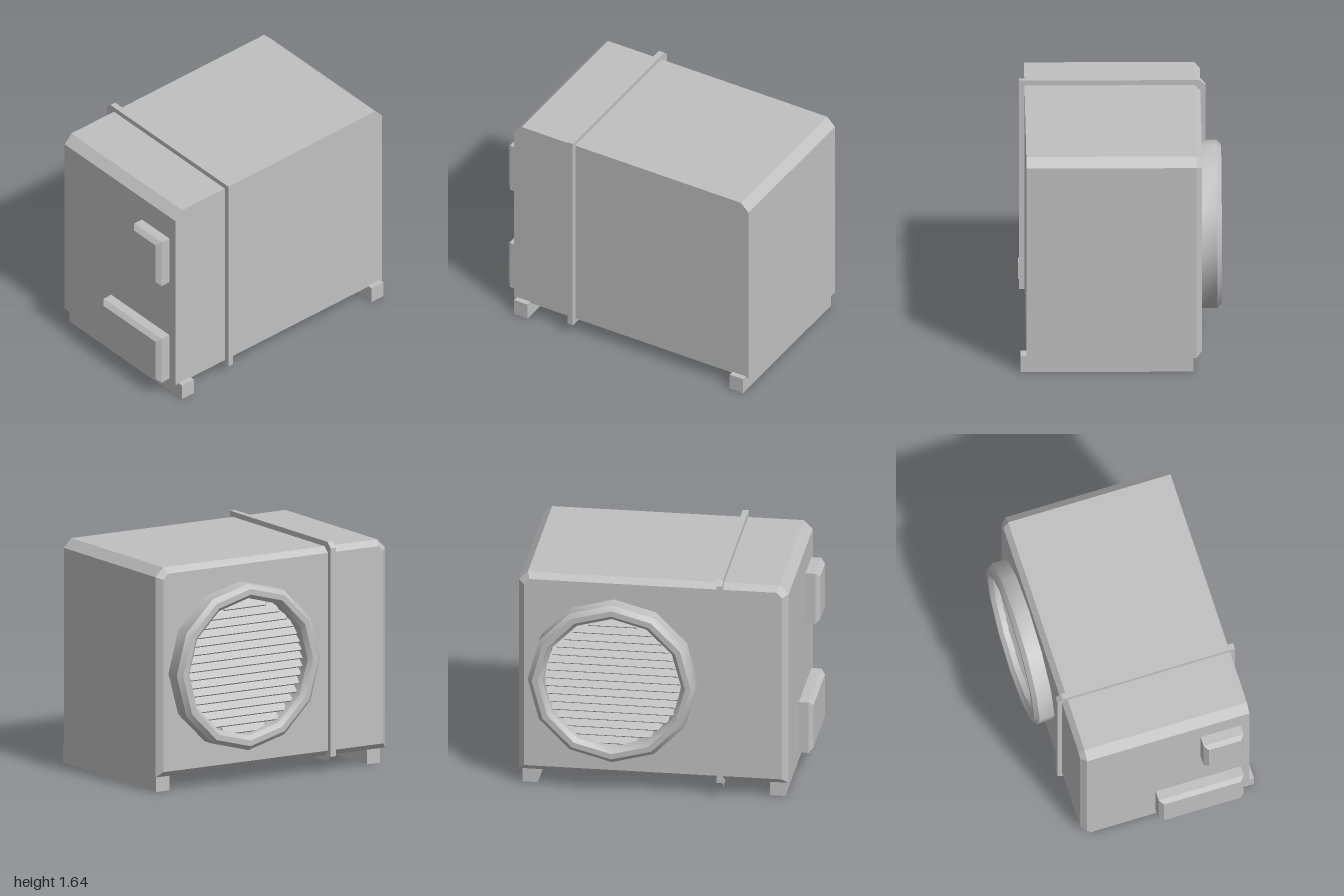
import * as THREE from 'three';
import { ConvexGeometry } from 'three/addons/geometries/ConvexGeometry.js';
import { toCreasedNormals } from 'three/addons/utils/BufferGeometryUtils.js';

export function createModel() {
  const model = new THREE.Group();
  const grey = new THREE.MeshStandardMaterial({ color: 0xc0c0c0 });
  grey.name = 'light grey metal';

  const add = (name, geometry, parent = model) => {
    const mesh = new THREE.Mesh(geometry, grey);
    mesh.name = name;
    parent.add(mesh);
    return mesh;
  };
  const convex = (points) => new ConvexGeometry(points.map((p) => new THREE.Vector3(...p)));
  const box = (x0, x1, y0, y1, z0, z1) =>
    new THREE.BoxGeometry(x1 - x0, y1 - y0, z1 - z0)
      .translate((x0 + x1) / 2, (y0 + y1) / 2, (z0 + z1) / 2);

  // Cabinet: side profile with chamfered top corners, bevelled towards the vent side
  const profile = (x, inset) => {
    const z0 = -1 + inset, z1 = 0.9 - inset, y0 = 0.11 + inset, y1 = 1.6 - inset;
    const c = 0.063 - inset * 0.586;
    return [[x, y0, z0], [x, y0, z1], [x, y1 - c, z1], [x, y1, z1 - c], [x, y1, z0 + c], [x, y1 - c, z0]];
  };
  add('cabinet', convex([...profile(0.66, 0), ...profile(-0.527, 0), ...profile(-0.567, 0.04)]));

  // Raised band around the cabinet
  const band = [];
  for (const z of [0.402, 0.445]) {
    band.push([0.697, 0.073, z], [0.697, 1.637, z], [-0.563, 1.637, z],
      [-0.602, 1.598, z], [-0.602, 0.112, z], [-0.563, 0.073, z]);
  }
  add('band', convex(band));

  // Feet rails
  add('frontFoot', box(-0.505, 0.7, 0, 0.12, 0.765, 0.875));
  add('backFoot', box(-0.505, 0.7, 0, 0.12, -0.98, -0.87));

  // Bevelled boxes on the front
  const bevelledBox = (x0, x1, y0, y1) => {
    const points = [];
    for (const [z, i] of [[0.89, 0], [0.97, 0], [1, 0.03]]) {
      points.push([x0 + i, y0 + i, z], [x1 - i, y0 + i, z], [x1 - i, y1 - i, z], [x0 + i, y1 - i, z]);
    }
    return convex(points);
  };
  add('controlBox', bevelledBox(0.302, 0.595, 0.97, 1.35));
  add('terminalBox', bevelledBox(-0.026, 0.595, 0.132, 0.512));

  // Round vent: twelve-sided collar with horizontal louvres
  const vent = new THREE.Group();
  vent.name = 'vent';
  vent.position.set(0, 0.848, -0.325);
  model.add(vent);
  const collar = [[0.593, 0.56], [0.593, 0.675], [0.56, 0.705], [0.52, 0.705], [0.49, 0.675], [0.49, 0.56]]
    .map(([r, h]) => new THREE.Vector2(r, h));
  const ring = new THREE.LatheGeometry(collar, 12).rotateZ(Math.PI / 2);
  add('ventCollar', toCreasedNormals(ring, 0.6), vent);

  const count = 16, pitch = 0.059;
  for (let i = 0; i < count; i++) {
    const y = (i - (count - 1) / 2) * pitch;
    const half = Math.sqrt(0.475 ** 2 - y * y);
    const slat = add('louvre', new THREE.BoxGeometry(0.08, 0.012, half * 2), vent);
    slat.position.set(-0.605, y, 0);
    slat.rotation.z = Math.PI / 4;
  }
  return model;
}
